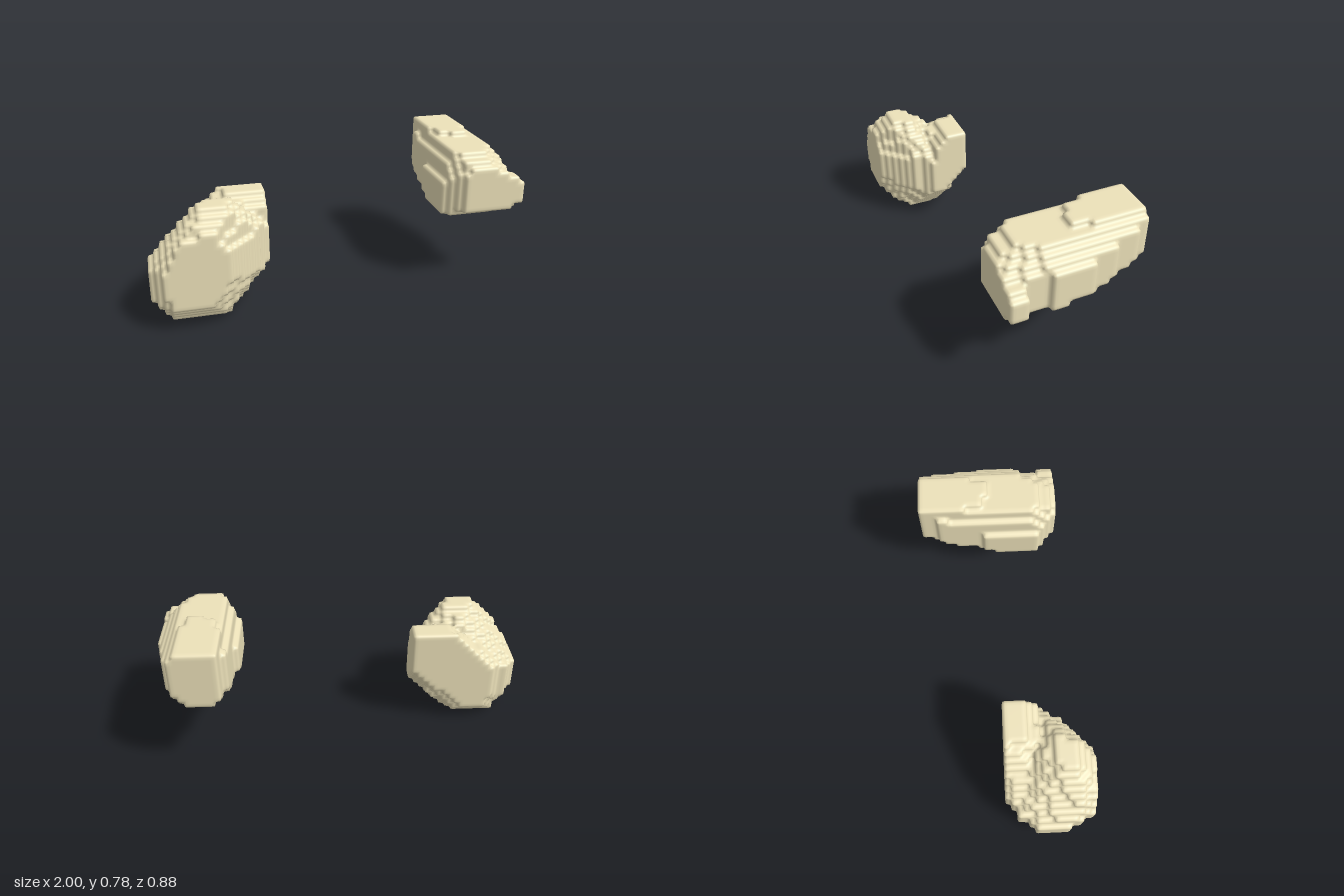
import * as THREE from 'three';
import { ConvexGeometry } from 'three/addons/geometries/ConvexGeometry.js';

const STEP = 1 / 32; // size of the terraces
const H = STEP / 2; // skinning grid, half a terrace so that each step keeps its flats

// Inside test for the convex solid around a few corner points
function convexSolid(points) {
  const pos = new ConvexGeometry(points.map((p) => new THREE.Vector3(...p))).getAttribute('position');
  const planes = [];
  for (let i = 0; i < pos.count; i += 3) {
    const [a, b, c] = [0, 1, 2].map((k) => new THREE.Vector3().fromBufferAttribute(pos, i + k));
    planes.push(new THREE.Plane().setFromCoplanarPoints(a, b, c));
  }
  return (p) => planes.every((plane) => plane.distanceToPoint(p) < 0.004);
}

// Samples a union of solids on a grid and skins it with softly bevelled steps
function steppedGeometry(solids) {
  const tests = solids.map(convexSolid);
  const box = new THREE.Box3().setFromPoints(solids.flat().map((p) => new THREE.Vector3(...p)));
  const lo = box.min.toArray().map((v) => 2 * Math.floor(v / STEP) - 4);
  const n = box.max.toArray().map((v, k) => 2 * Math.ceil(v / STEP) + 4 - lo[k]);
  const at = (c) => c[0] + n[0] * (c[1] + n[1] * c[2]);
  const filled = new Uint8Array(n[0] * n[1] * n[2]);
  const p = new THREE.Vector3();
  const eachCell = (fn) => {
    for (let z = 0; z < n[2] - 1; z++)
      for (let y = 0; y < n[1] - 1; y++)
        for (let x = 0; x < n[0] - 1; x++) fn([x, y, z]);
  };
  eachCell((c) => {
    p.set(...c.map((v, k) => (Math.floor((v + lo[k]) / 2) + 0.5) * STEP));
    if (tests.some((t) => t(p))) filled[at(c)] = 1;
  });

  // One vertex per mixed cell: the mean of its crossed edge midpoints
  const positions = [], index = [], vertexOf = new Map();
  eachCell((c) => {
    const sum = [0, 0, 0];
    let count = 0;
    for (let corner = 0; corner < 8; corner++) {
      for (let axis = 0; axis < 3; axis++) {
        if ((corner >> axis) & 1) continue;
        const a = c.map((v, k) => v + ((corner >> k) & 1));
        const b = a.map((v, k) => v + (k === axis ? 1 : 0));
        if (filled[at(a)] === filled[at(b)]) continue;
        a.forEach((v, k) => { sum[k] += (v + b[k]) / 2; });
        count++;
      }
    }
    if (!count) return;
    vertexOf.set(at(c), positions.length / 3);
    positions.push(...sum.map((s, k) => (s / count + lo[k] + 0.5) * H));
  });

  // One quad for every grid edge that crosses the surface
  eachCell((c) => {
    for (let axis = 0; axis < 3; axis++) {
      const next = c.map((v, k) => v + (k === axis ? 1 : 0));
      const inside = filled[at(c)];
      if (inside === filled[at(next)]) continue;
      const u = (axis + 1) % 3, w = (axis + 2) % 3;
      const quad = [[1, 1], [0, 1], [0, 0], [1, 0]].map(([du, dw]) => {
        const cell = [...c];
        cell[u] -= du;
        cell[w] -= dw;
        return vertexOf.get(at(cell));
      });
      if (!inside) quad.reverse();
      const [a, b, d, e] = quad;
      index.push(a, b, d, a, d, e);
    }
  });

  const geometry = new THREE.BufferGeometry();
  geometry.setAttribute('position', new THREE.Float32BufferAttribute(positions, 3));
  geometry.setIndex(index);
  geometry.computeVertexNormals();
  return geometry;
}

// Cross-section outline placed at a depth z
const section = (z, outline) => outline.map(([x, y]) => [x, y, z]);

export function createModel() {
  const group = new THREE.Group();
  const material = new THREE.MeshStandardMaterial({ color: 0xede2ba });
  const add = (name, solids) => {
    const mesh = new THREE.Mesh(steppedGeometry(solids), material);
    mesh.name = name;
    group.add(mesh);
  };

  // Broad lobe: swollen front half and a ridged back half with a shallow saddle between
  const lowerMiddle = section(0.05, [[-0.93, 0.32], [-0.92, 0.12], [-0.85, 0.04], [-0.64, 0.04], [-0.5, 0.15], [-0.38, 0.3]]);
  add('broadLobe', [
    [
      ...section(0.437, [[-0.91, 0.36], [-0.85, 0.46], [-0.7, 0.5], [-0.63, 0.42], [-0.63, 0.25], [-0.72, 0.14], [-0.87, 0.14], [-0.91, 0.2]]),
      ...section(0.36, [[-0.95, 0.34], [-0.88, 0.47], [-0.73, 0.6], [-0.62, 0.6], [-0.56, 0.45], [-0.56, 0.22], [-0.64, 0.065], [-0.9, 0.065], [-0.95, 0.14]]),
      ...section(0.26, [[-1, 0.3], [-1, 0.14], [-0.9, 0], [-0.62, 0], [-0.45, 0.22], [-0.45, 0.45], [-0.57, 0.625], [-0.73, 0.625]]),
      ...section(0.14, [[-0.99, 0.28], [-0.98, 0.14], [-0.89, 0], [-0.62, 0], [-0.38, 0.23], [-0.38, 0.42], [-0.66, 0.56]]),
      ...section(0.18, [[-1, 0.29], [-1, 0.14], [-0.38, 0.24], [-0.38, 0.4]]),
      ...lowerMiddle,
    ],
    [
      ...section(0.16, [[-0.38, 0.25], [-0.38, 0.5], [-0.58, 0.54], [-0.96, 0.3], [-0.9, 0.03], [-0.62, 0.02]]),
      ...section(0.06, [[-0.38, 0.6], [-0.56, 0.6]]),
      ...lowerMiddle,
      ...section(-0.03, [[-0.38, 0.6], [-0.58, 0.6], [-0.81, 0.39], [-0.81, 0.17], [-0.78, 0.13], [-0.66, 0.13], [-0.38, 0.39]]),
    ],
  ]);

  // Long lobe: tapered body and a flared front rim
  add('longLobe', [
    [
      ...section(0.31, [[0.66, 0.47], [0.66, 0.6], [0.7, 0.69], [0.81, 0.69], [0.9, 0.62], [0.9, 0.45], [0.68, 0.45]]),
      ...section(0.24, [[0.6, 0.42], [0.6, 0.6], [0.66, 0.72], [0.81, 0.72]]),
      ...section(0.18, [[0.565, 0.41], [0.565, 0.55], [0.64, 0.74], [0.8, 0.75], [0.92, 0.65], [0.92, 0.45], [0.86, 0.41]]),
      ...section(0.06, [[0.565, 0.41], [0.565, 0.55], [0.63, 0.74], [0.8, 0.755], [0.88, 0.74], [0.96, 0.65], [0.96, 0.46], [0.86, 0.383], [0.69, 0.383]]),
      ...section(-0.08, [[0.59, 0.44], [0.59, 0.6], [0.64, 0.75], [0.8, 0.76], [0.88, 0.74], [0.96, 0.64], [0.96, 0.47], [0.86, 0.383], [0.69, 0.383]]),
      ...section(-0.25, [[0.61, 0.46], [0.61, 0.62], [0.65, 0.77], [0.8, 0.77], [0.91, 0.67], [0.91, 0.49], [0.84, 0.418], [0.68, 0.418]]),
      ...section(-0.437, [[0.625, 0.55], [0.625, 0.74], [0.65, 0.78], [0.81, 0.78], [0.87, 0.73], [0.87, 0.56], [0.81, 0.49], [0.67, 0.49]]),
    ],
    [
      ...section(0.31, [[0.8, 0.68], [0.88, 0.65], [0.97, 0.59], [0.97, 0.49], [0.92, 0.45], [0.8, 0.45]]),
      ...section(0.282, [[1, 0.59], [1, 0.49], [0.96, 0.45], [0.8, 0.44]]),
      ...section(0.25, [[1, 0.59], [1, 0.49]]),
      ...section(0.21, [[0.8, 0.68], [0.95, 0.6], [0.95, 0.48], [0.91, 0.45], [0.8, 0.44]]),
    ],
  ]);

  return group;
}
